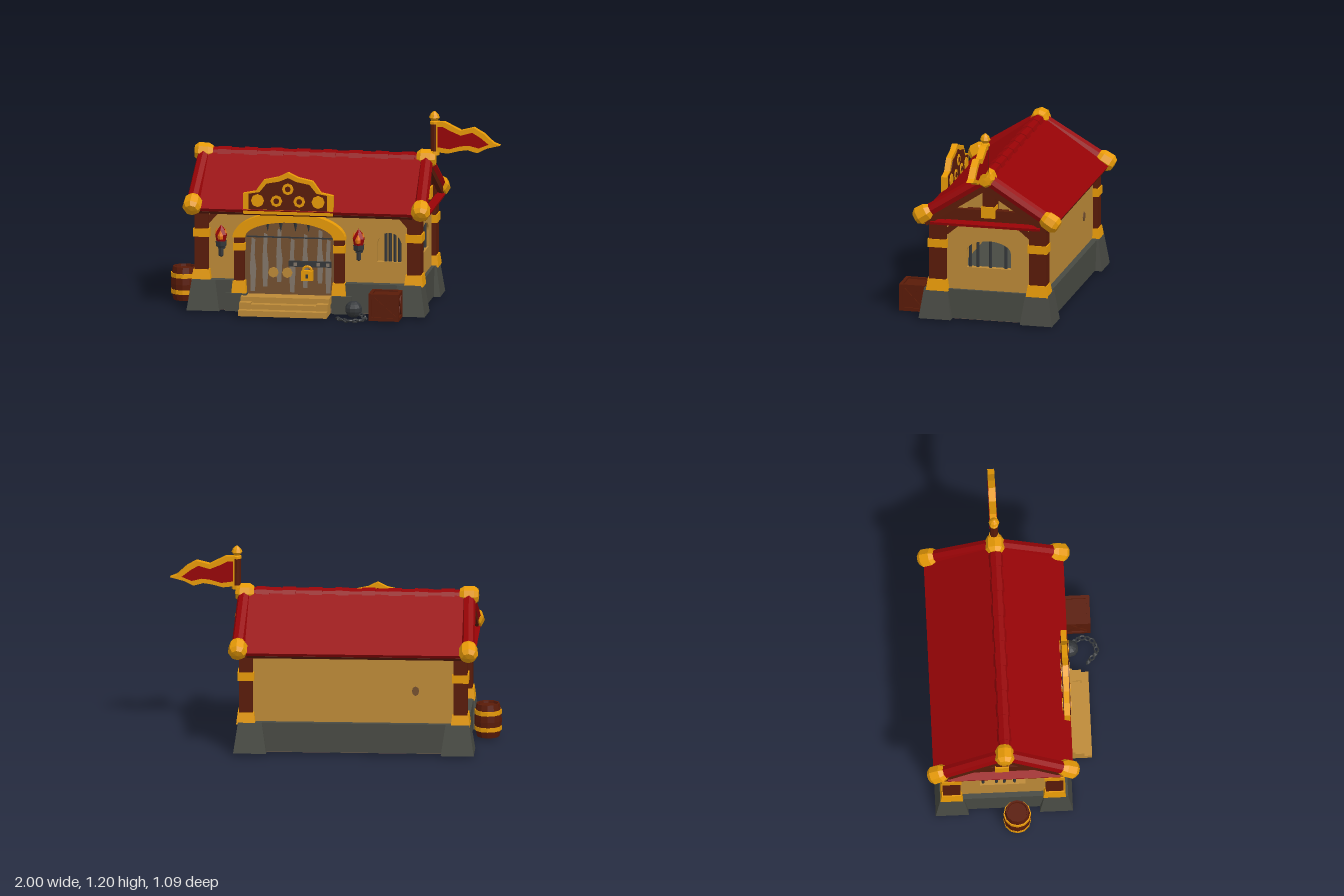
import * as THREE from 'three';

const mat = (name, color) => { const m = new THREE.MeshStandardMaterial({ color }); m.name = name; return m; };
const V = (x, y, z) => new THREE.Vector3(x, y, z);

export function createModel() {
  const root = new THREE.Group();
  root.name = 'guardHouse';
  const red = mat('roofRed', 0x970306), gold = mat('gold', 0xe79a06), sand = mat('sandPlaster', 0xbd8a37),
    brown = mat('darkWood', 0x5a1b08), stone = mat('stone', 0x484a43), iron = mat('iron', 0x34373a),
    plank = mat('doorWood', 0x74502f), worn = mat('wornWood', 0x82766a), floor = mat('floor', 0x6f5a4c),
    orange = mat('flameOrange', 0xe2700f);

  // Faceted mesh
  const add = (name, g, m, x = 0, y = 0, z = 0) => {
    const f = g.index ? g.toNonIndexed() : g;
    f.computeVertexNormals();
    const mesh = new THREE.Mesh(f, m);
    mesh.name = name;
    mesh.position.set(x, y, z);
    root.add(mesh);
    return mesh;
  };
  // Box given by its extents; top may be narrowed
  const box = (name, m, x0, x1, y0, y1, z0, z1, tx = 1, tz = tx) => {
    const g = new THREE.BoxGeometry(x1 - x0, y1 - y0, z1 - z0), p = g.attributes.position;
    for (let i = 0; i < p.count; i++) if (p.getY(i) > 0) { p.setX(i, p.getX(i) * tx); p.setZ(i, p.getZ(i) * tz); }
    return add(name, g, m, (x0 + x1) / 2, (y0 + y1) / 2, (z0 + z1) / 2);
  };
  // Bar or round rod between two points
  const aim = (mesh, a, b) => { mesh.position.copy(a).add(b).multiplyScalar(0.5); mesh.lookAt(b); return mesh; };
  const bar = (name, m, w, t, a, b) => aim(add(name, new THREE.BoxGeometry(w, t, a.distanceTo(b)), m), a, b);
  const rod = (name, m, r, a, b, n = 8) =>
    aim(add(name, new THREE.CylinderGeometry(r, r, a.distanceTo(b), n).rotateX(Math.PI / 2), m), a, b);
  const lathe = (name, m, pts, n, x, y, z) =>
    add(name, new THREE.LatheGeometry(pts.map(p => new THREE.Vector2(...p)), n), m, x, y, z);
  const disc = (name, m, r, t, x, y, z) => add(name, new THREE.CylinderGeometry(r, r, t, 8).rotateX(Math.PI / 2), m, x, y, z);
  const poly = pts => new THREE.Shape(pts.map(p => new THREE.Vector2(...p)));
  const ext = (s, depth) => new THREE.ExtrudeGeometry(s, { depth, bevelEnabled: false, curveSegments: 12 });
  // Arched outline
  const arch = (x0, x1, y0, ys, ry, C = THREE.Shape) => {
    const s = new C();
    s.moveTo(x0, y0); s.lineTo(x1, y0); s.lineTo(x1, ys);
    s.absellipse((x0 + x1) / 2, ys, (x1 - x0) / 2, ry, 0, Math.PI, false, 0);
    s.lineTo(x0, y0);
    return s;
  };

  // Stone base
  box('floorUnderside', floor, -0.81, 0.55, 0.015, 0.03, -0.44, 0.29);
  box('stoneBase', stone, -0.82, 0.56, 0.02, 0.2, -0.45, 0.23);
  for (const [a, b] of [[-0.82, -0.57], [0.1, 0.56]]) box('frontBase', stone, a, b, 0.02, 0.2, 0.2, 0.3);
  for (const [a, b] of [[-0.62, -0.49], [0.03, 0.15]]) box('doorPostBase', stone, a, b, 0.015, 0.125, 0.2, 0.325);

  // Corner stones, pillars and braces
  for (const sx of [-1, 1]) for (const sz of [-1, 1]) {
    const cx = sx < 0 ? -0.755 : 0.5, px = sx < 0 ? -0.772 : 0.525;
    const cz = sz < 0 ? -0.39 : 0.24, pz = sz < 0 ? -0.392 : 0.23;
    const post = (n, m, w, d, y0, y1, t = 1) => box(n, m, px - w, px + w, y0, y1, pz - d, pz + d, t);
    box('cornerStone', stone, cx - 0.1, cx + 0.1, 0.015, 0.2, cz - 0.1, cz + 0.1, 0.72);
    post('pillar', brown, 0.042, 0.053, 0.2, 0.67);
    post('pillarFoot', gold, 0.058, 0.069, 0.19, 0.26, 0.85);
    post('pillarBand', gold, 0.05, 0.06, 0.46, 0.51);
    bar('sideBrace', brown, 0.035, 0.035, V(px, 0.55, pz - sz * 0.045), V(px, 0.63, pz - sz * 0.14));
    bar('longBrace', brown, 0.035, 0.035, V(px - sx * 0.03, 0.55, pz), V(px - sx * 0.11, 0.64, pz));
  }

  // Front wall with barred window, and back wall
  const front = poly([[-0.78, 0.18], [0.53, 0.18], [0.53, 0.66], [-0.78, 0.66]]);
  front.holes.push(arch(0.295, 0.445, 0.33, 0.43, 0.08, THREE.Path));
  add('frontWall', ext(front, 0.035), sand, 0, 0, 0.21);
  for (const x of [0.345, 0.372, 0.402, 0.43]) rod('frontWindowBar', iron, 0.01, V(x, 0.32, 0.222), V(x, 0.51, 0.222), 6);
  box('backWall', sand, -0.78, 0.53, 0.18, 0.65, -0.415, -0.38);
  disc('backWallKnot', plank, 0.022, 0.008, -0.5, 0.4, -0.417).scale.y = 1.3;

  // Gable ends, open at the top
  const side = poly([[-0.4, 0.18], [0.23, 0.18], [0.23, 0.67], [0.05, 0.79], [0.05, 0.66], [-0.21, 0.66], [-0.21, 0.79], [-0.4, 0.65]]);
  side.holes.push(arch(-0.22, 0.055, 0.34, 0.44, 0.07, THREE.Path));
  for (const [s, x, bars] of [[1, 0.54, [0.035, -0.012, -0.09, -0.185]], [-1, -0.752, [-0.01, -0.072, -0.12, -0.2]]]) {
    add('sideWall', ext(side, 0.035).rotateY(-Math.PI / 2), sand, x, 0, 0);
    const out = s > 0 ? 0.54 : -0.787, wx = out - s * 0.018;
    for (const z of bars) rod('sideWindowBar', iron, 0.009, V(wx, 0.33, z), V(wx, 0.51, z), 6);
    bar('tieBeam', brown, 0.05, 0.07, V(out, 0.675, 0.23), V(out, 0.675, -0.38));
    box('kingPost', brown, out - 0.03, out + 0.03, 0.71, 0.88, -0.125, -0.05);
    box('kingPostFoot', gold, out - 0.04, out + 0.04, 0.665, 0.735, -0.13, -0.045);
    bar('sideAwning', red, 0.68, 0.016, V(out - s * 0.02, 0.64, -0.075), V(out + s * 0.07, 0.62, -0.075));
  }

  // Roof slopes with timber undersides, edge rolls and gold caps
  const cap = [[0, -0.06], [0.04, -0.057], [0.056, -0.03], [0.058, 0.03], [0.04, 0.055], [0, 0.06]];
  for (const ez of [0.335, -0.495]) {
    const sz = Math.sign(ez);
    bar(sz > 0 ? 'frontRoof' : 'backRoof', red, 1.32, 0.025, V(-0.13, 0.925, -0.07), V(-0.13, 0.635, ez));
    bar('roofUnderside', brown, 1.3, 0.02, V(-0.13, 0.9, -0.07), V(-0.13, 0.618, ez - sz * 0.01));
    for (const [ex, rx] of [[-0.822, -0.805], [0.572, 0.55]]) {
      const a = V(rx, 0.91, -0.07), b = V(ex, 0.665, ez - sz * 0.02);
      rod('roofEdge', red, 0.04, a, b);
      bar('rafter', brown, 0.055, 0.05, V(rx, 0.865, -0.07), V(ex, 0.62, ez - sz * 0.03));
      const knob = lathe('eaveCap', gold, cap, 8, b.x, b.y, b.z);
      knob.quaternion.setFromUnitVectors(V(0, 1, 0), b.clone().sub(a).normalize());
    }
  }
  rod('ridge', red, 0.04, V(-0.8, 0.905, -0.07), V(0.55, 0.905, -0.07));
  for (let i = 0; i < 8; i++) rod('ridgeTile', red, 0.045, V(-0.72 + i * 0.16, 0.905, -0.07), V(-0.64 + i * 0.16, 0.905, -0.07));
  for (const x of [-0.808, 0.548]) lathe('ridgeCap', gold, cap, 8, x, 0.912, -0.072).rotation.z = Math.PI / 2;

  // Door
  add('door', ext(arch(-0.51, 0.04, 0.11, 0.46, 0.11), 0.02), plank, 0, 0, 0.24);
  [-0.46, -0.385, -0.3, -0.22, -0.14, -0.05, 0.0].forEach((x, i) => {
    const y = 0.13 + (i % 3) * 0.03;
    add('wornStreak', ext(poly([[x - 0.014, y], [x + 0.012, y], [x + 0.02, y + 0.14], [x + 0.01, y + 0.22], [x + 0.014, y + 0.32], [x - 0.008, y + 0.33], [x - 0.018, y + 0.16]]), 0.004), worn, 0, 0, 0.26);
  });
  box('doorRail', iron, -0.5, 0.03, 0.463, 0.471, 0.255, 0.268);
  for (const x of [-0.37, -0.29, -0.2, -0.12]) add('doorSpike', new THREE.ConeGeometry(0.013, 0.06, 4).rotateX(Math.PI), iron, x, 0.53, 0.264);
  box('doorBolt', iron, -0.24, 0.02, 0.29, 0.325, 0.255, 0.275);
  for (const x of [-0.2, -0.06, 0.0]) box('boltStud', worn, x - 0.01, x + 0.01, 0.297, 0.317, 0.27, 0.28);
  for (const x of [-0.335, -0.25]) disc('doorPatch', sand, 0.032, 0.008, x, 0.25, 0.264);
  box('padlock', gold, -0.16, -0.09, 0.21, 0.27, 0.265, 0.3);
  add('padlockShackle', new THREE.TorusGeometry(0.026, 0.008, 5, 10, Math.PI), gold, -0.125, 0.27, 0.285);
  box('keyhole', iron, -0.133, -0.117, 0.225, 0.25, 0.296, 0.303);

  // Door frame and arch
  for (const x of [-0.54, 0.07]) {
    box('doorPost', brown, x - 0.03, x + 0.03, 0.12, 0.48, 0.21, 0.295);
    box('doorPostFoot', gold, x - 0.045, x + 0.045, 0.12, 0.2, 0.2, 0.315, 0.85);
    box('doorPostBand', gold, x - 0.036, x + 0.036, 0.385, 0.43, 0.21, 0.302);
  }
  const ring = new THREE.Shape();
  ring.absellipse(-0.235, 0.465, 0.345, 0.16, 0, Math.PI, false, 0);
  ring.absellipse(-0.235, 0.465, 0.27, 0.1, Math.PI, 0, true, 0);
  add('doorArch', ext(ring, 0.085), gold, 0, 0, 0.215);

  // Sign board above the door, ornamented on both faces
  const half = [[0.275, 0], [0.275, 0.125], [0.2, 0.14], [0.15, 0.21], [0.06, 0.23]];
  const signPts = [...half, [0, 0.26], ...half.slice().reverse().map(([x, y]) => [-x, y])];
  add('signFrame', ext(poly(signPts), 0.035), gold, -0.235, 0.62, 0.303);
  for (const [zp, s] of [[0.337, 1], [0.298, -1]]) {
    add('signPanel', ext(poly(signPts.map(([x, y]) => [x * 0.87, 0.03 + y * 0.76])), 0.006), brown, -0.235, 0.62, zp);
    const z = zp + 0.003 + s * 0.004;
    for (const x of [-0.185, 0.185]) disc('signBoss', gold, 0.04, 0.008, -0.235 + x, 0.705, z);
    for (const [x, y] of [[-0.07, 0.705], [0.07, 0.705], [0, 0.78]]) {
      disc('signRing', gold, 0.036, 0.006, -0.235 + x, y, z);
      disc('signRingCentre', brown, 0.018, 0.006, -0.235 + x, y, z + s * 0.002);
    }
  }

  // Steps
  box('topStep', sand, -0.52, 0.02, 0.07, 0.115, 0.22, 0.37);
  box('middleStep', sand, -0.45, -0.05, 0.02, 0.08, 0.3, 0.42);
  box('bottomStep', sand, -0.52, 0.02, 0.015, 0.05, 0.3, 0.47);
  for (const x of [-0.485, -0.015]) box('stepBlock', sand, x - 0.035, x + 0.035, 0.02, 0.09, 0.3, 0.425);

  // Torches
  for (const x of [-0.65, 0.19]) {
    lathe('torchHolder', iron, [[0, -0.11], [0.016, -0.1], [0.016, -0.05], [0.034, -0.04], [0.036, -0.01], [0, -0.01]], 6, x, 0.45, 0.29);
    box('torchBracket', iron, x - 0.02, x + 0.02, 0.39, 0.43, 0.24, 0.29);
    lathe('flame', red, [[0, -0.01], [0.03, -0.01], [0.039, 0.03], [0.024, 0.06], [0, 0.09]], 6, x, 0.45, 0.292);
    lathe('flameCore', orange, [[0, 0], [0.016, 0.005], [0.018, 0.025], [0, 0.06]], 5, x, 0.45, 0.318);
    for (const s of [-1, 1]) lathe('flameTongue', orange, [[0, 0], [0.009, 0.015], [0, 0.05]], 5, x + s * 0.027, 0.475, 0.3);
  }

  // Barrel
  lathe('barrel', brown, [[0, 0], [0.068, 0], [0.08, 0.05], [0.083, 0.1], [0.08, 0.15], [0.07, 0.205], [0.06, 0.205], [0.058, 0.19], [0, 0.19]], 12, -0.918, 0.015, 0);
  for (const y of [0.055, 0.155]) lathe('barrelHoop', gold, [[0.07, 0], [0.083, 0], [0.083, 0.027], [0.07, 0.027]], 12, -0.918, y, 0);

  // Crate
  box('crate', brown, 0.29, 0.455, 0.02, 0.17, 0.345, 0.485);
  for (const x of [0.28, 0.445]) for (const z of [0.335, 0.475]) box('cratePost', brown, x, x + 0.02, 0.015, 0.18, z, z + 0.02);
  for (const y of [0.015, 0.16]) {
    for (const z of [0.335, 0.475]) box('crateRail', brown, 0.28, 0.465, y, y + 0.02, z, z + 0.02);
    for (const x of [0.28, 0.445]) box('crateRail', brown, x, x + 0.02, y, y + 0.02, 0.335, 0.495);
  }
  for (const [a, b] of [[0.03, 0.165], [0.165, 0.03]]) {
    bar('crateBrace', brown, 0.014, 0.018, V(0.295, a, 0.485), V(0.45, b, 0.485));
    for (const x of [0.29, 0.456]) bar('crateBrace', brown, 0.014, 0.018, V(x, a, 0.35), V(x, b, 0.48));
  }

  // Ball and chain
  add('ironBall', new THREE.SphereGeometry(0.052, 10, 7), iron, 0.17, 0.058, 0.365);
  const path = new THREE.CatmullRomCurve3([V(0.22, 0.03, 0.39), V(0.25, 0.018, 0.44), V(0.23, 0.018, 0.5), V(0.16, 0.018, 0.525), V(0.095, 0.018, 0.475)]);
  for (let i = 0; i < 10; i++) {
    const link = add('chainLink', new THREE.TorusGeometry(0.017, 0.007, 5, 8).scale(0.75, 1, 1).rotateX(Math.PI / 2), iron);
    const p = path.getPointAt(i / 9);
    link.position.copy(p);
    link.lookAt(p.clone().add(path.getTangentAt(i / 9)));
    link.rotateZ(i % 2 ? 0.9 : 0.1);
  }

  // Flag and pole
  rod('flagPole', brown, 0.024, V(0.597, 0.94, -0.075), V(0.597, 1.14, -0.075));
  lathe('flagFinial', gold, [[0, 0], [0.028, 0], [0.028, 0.015], [0.018, 0.02], [0.033, 0.04], [0.025, 0.06], [0.01, 0.075], [0, 0.08]], 8, 0.597, 1.125, -0.075);
  lathe('flagPoleFoot', gold, [[0, 0], [0.032, 0], [0.03, 0.025], [0, 0.025]], 8, 0.597, 0.935, -0.075);
  const flag = poly([[0.61, 0.955], [0.68, 0.947], [0.75, 0.965], [0.8, 0.972], [0.86, 0.955], [0.92, 0.985], [1, 1.005], [0.96, 1.02], [0.9, 1.075], [0.84, 1.11], [0.76, 1.09], [0.71, 1.115], [0.66, 1.14], [0.61, 1.14]]);
  add('flagBorder', ext(flag, 0.042), gold, 0, 0, -0.098);
  const cloth = poly([[0.62, 0.985], [0.69, 0.975], [0.76, 0.995], [0.81, 1.0], [0.87, 0.985], [0.93, 1.01], [0.88, 1.05], [0.83, 1.08], [0.76, 1.06], [0.7, 1.085], [0.65, 1.11], [0.62, 1.11]]);
  for (const z of [-0.1, -0.06]) add('flagCloth', ext(cloth, 0.006), red, 0, 0, z);

  return root;
}
